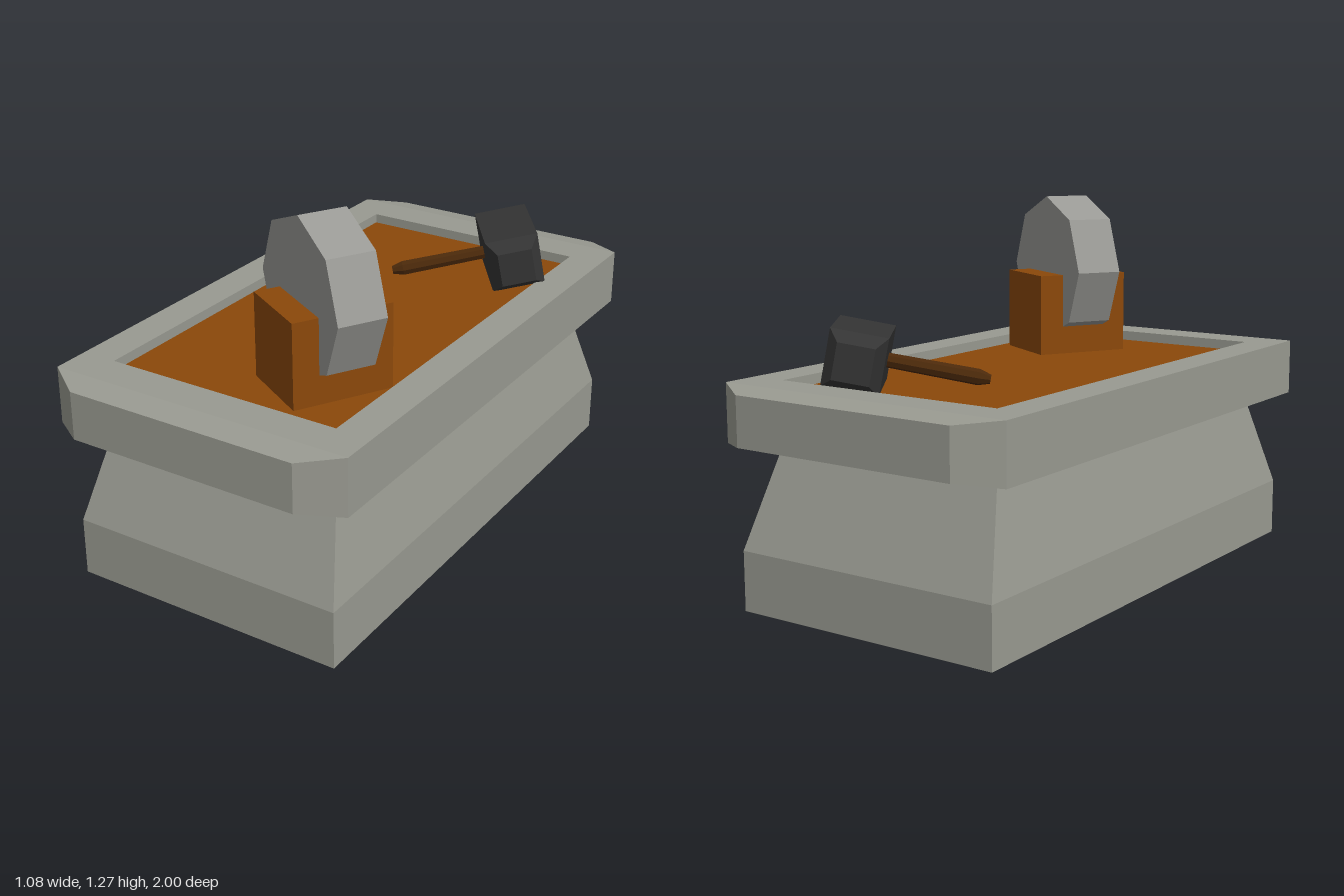
import * as THREE from 'three';

const material = (name, color) => {
  const m = new THREE.MeshStandardMaterial({ color, flatShading: true });
  m.name = name;
  return m;
};

// Join rings of equal point count (counter-clockwise seen from above), capping the ends on request
function loft(rings, capStart = true, capEnd = true) {
  const pos = [];
  const tri = (...pts) => {
    const [a, b, c] = pts.map(p => new THREE.Vector3(...p));
    if (b.sub(a).cross(c.sub(a)).length() > 1e-7) pos.push(...pts.flat());
  };
  const n = rings[0].length;
  for (let i = 0; i < rings.length - 1; i++) {
    for (let j = 0; j < n; j++) {
      const k = (j + 1) % n;
      const a = rings[i][j], b = rings[i][k], c = rings[i + 1][k], d = rings[i + 1][j];
      tri(a, b, c);
      tri(a, c, d);
    }
  }
  const first = rings[0], last = rings[rings.length - 1];
  for (let j = 1; j < n - 1; j++) {
    if (capStart) tri(first[0], first[j + 1], first[j]);
    if (capEnd) tri(last[0], last[j], last[j + 1]);
  }
  const g = new THREE.BufferGeometry();
  g.setAttribute('position', new THREE.Float32BufferAttribute(pos, 3));
  g.computeVertexNormals();
  return g;
}

const rect = (x, y, z) => [[x, y, z], [x, y, -z], [-x, y, -z], [-x, y, z]];

// Eight-point ring: long sides at (x, z), tapered ends at (ex, ez) with their own height
const octagon = (x, y, z, ex, ey, ez) => [
  [x, y, z], [x, y, -z], [ex, ey, -ez], [-ex, ey, -ez],
  [-x, y, -z], [-x, y, z], [-ex, ey, ez], [ex, ey, ez],
];
const rect8 = (x, y, z) => octagon(x, y, z, x, y, z);

export function createModel() {
  const stone = material('stone', 0x999a91);
  const grit = material('grindstone grey', 0x999995);
  const wood = material('wood', 0x8b480a);
  const darkWood = material('dark wood', 0x4b290a);
  const iron = material('dark iron', 0x343434);

  const model = new THREE.Group();
  model.name = 'workbench';
  const add = (parent, name, geometry, mat) => {
    const mesh = new THREE.Mesh(geometry, mat);
    mesh.name = name;
    parent.add(mesh);
    return mesh;
  };

  // Pedestal with upright foot and tapering upper half
  add(model, 'pedestal', loft([
    rect(0.487, 0, 0.912), rect(0.487, 0.2, 0.912), rect(0.415, 0.555, 0.78),
  ]), stone);

  // Table slab with tapered ends and a shallow recess
  add(model, 'tableSlab', loft([
    rect8(0.54, 0.545, 0.912),
    octagon(0.54, 0.545, 0.912, 0.41, 0.56, 1),
    octagon(0.54, 0.74, 0.912, 0.41, 0.725, 1),
    rect8(0.54, 0.74, 0.912),
    rect8(0.418, 0.74, 0.785),
    rect8(0.418, 0.7, 0.785),
  ], true, false), stone);

  // Wooden inlay at the bottom of the recess
  const inlay = add(model, 'tableInlay', new THREE.BoxGeometry(0.836, 0.008, 1.57), wood);
  inlay.position.y = 0.702;

  // Grindstone held in a wooden block
  const grinder = new THREE.Group();
  grinder.name = 'grinder';
  grinder.position.set(0.183, 0, 0.495);
  grinder.rotation.y = -0.523;
  model.add(grinder);
  const block = add(grinder, 'grinderBlock', new THREE.BoxGeometry(0.271, 0.29, 0.34), wood);
  block.position.y = 0.848;
  const wheel = add(grinder, 'grindstone',
    new THREE.CylinderGeometry(0.261, 0.261, 0.164, 8).rotateX(Math.PI / 2), grit);
  wheel.position.y = 1.01;

  // Hammer lying with its handle tip on the table
  const hammer = new THREE.Group();
  hammer.name = 'hammer';
  hammer.position.set(0.264, 0.81, -0.592);
  hammer.rotation.set(0, 0.615, 0.19, 'YXZ');
  model.add(hammer);
  add(hammer, 'hammerHead', loft([
    rect(0.06, -0.2, 0.06), rect(0.093, -0.15, 0.093),
    rect(0.093, 0.15, 0.093), rect(0.06, 0.2, 0.06),
  ]).rotateX(Math.PI / 2), iron);
  const profile = [[0, 0.05], [0.024, 0.05], [0.027, 0.39], [0.015, 0.428], [0, 0.428]];
  add(hammer, 'hammerHandle', new THREE.LatheGeometry(
    profile.map(p => new THREE.Vector2(...p)), 8).rotateZ(Math.PI / 2), darkWood);

  return model;
}
